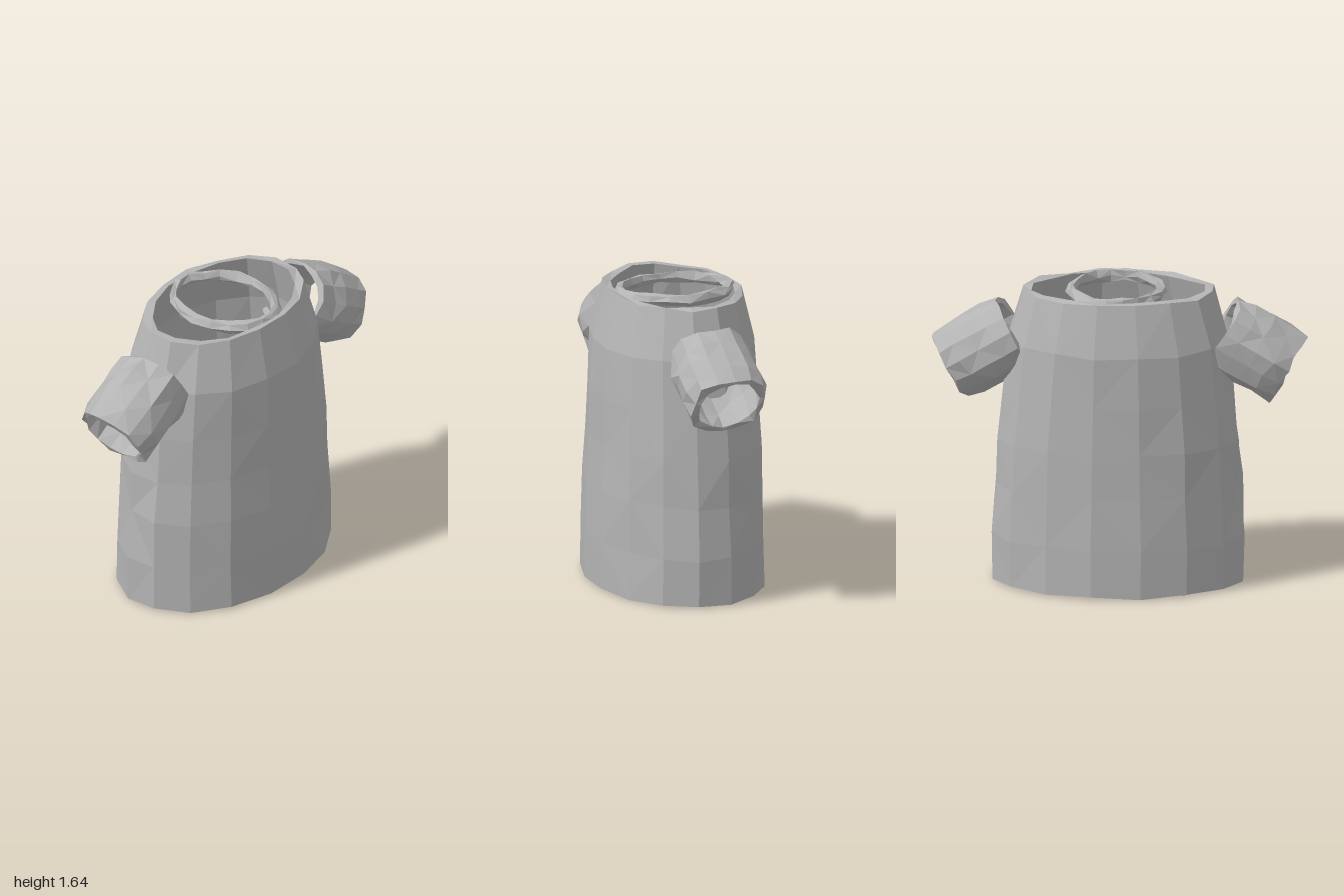
import * as THREE from 'three';

// Small seeded generator for the hand-made, slightly dented surface
function seeded(seed) {
  let s = seed;
  return () => {
    s = (s * 16807) % 2147483647;
    return s / 2147483647 - 0.5;
  };
}

// Thick elliptical band: rows [y, radiusX, radiusZ] run up the outside and
// down the inside, and the last row joins the first
function band(rows, sides, jitter, seed) {
  const rand = seeded(seed);
  const positions = [];
  const index = [];
  rows.forEach(([y, rx, rz], i) => {
    for (let j = 0; j < sides; j++) {
      const a = ((j + 0.5) / sides) * Math.PI * 2;
      const r = 1 + rand() * jitter / rx;
      positions.push(Math.sin(a) * rx * r, y + rand() * jitter, Math.cos(a) * rz * r);
      const k = (j + 1) % sides;
      const p = i * sides;
      const q = ((i + 1) % rows.length) * sides;
      if ((i + j) % 2) index.push(p + j, p + k, q + k, p + j, q + k, q + j);
      else index.push(p + j, p + k, q + j, p + k, q + k, q + j);
    }
  });
  const g = new THREE.BufferGeometry();
  g.setAttribute('position', new THREE.Float32BufferAttribute(positions, 3));
  g.setIndex(index);
  const flat = g.toNonIndexed();
  flat.computeVertexNormals();
  return flat;
}

export function createModel() {
  const model = new THREE.Group();
  model.name = 'shirt';
  const cloth = new THREE.MeshStandardMaterial({ color: 0xb4b4b4 });
  cloth.name = 'grey cloth';
  cloth.flatShading = true;

  const add = (name, geometry) => {
    const mesh = new THREE.Mesh(geometry, cloth);
    mesh.name = name;
    model.add(mesh);
    return mesh;
  };

  // Torso, open at hem and neck
  const outer = [
    [0.015, 0.685, 0.47], [0.27, 0.685, 0.46], [0.55, 0.67, 0.455],
    [0.8, 0.655, 0.445], [1.06, 0.63, 0.435], [1.34, 0.6, 0.425], [1.615, 0.515, 0.355],
  ];
  const inner = outer.map(([y, x, z]) => [y, x - 0.05, z - 0.04]).reverse();
  add('torso', band([...outer, ...inner], 16, 0.018, 11));

  // Collar ring set inside the neck opening
  const collar = add('collar', band([
    [1.575, 0.25, 0.31], [1.6, 0.268, 0.33], [1.63, 0.255, 0.315],
    [1.635, 0.23, 0.29], [1.6, 0.215, 0.28], [1.575, 0.23, 0.29],
  ], 18, 0.018, 29));
  collar.position.x = 0.01;

  // Short sleeves, open at both ends and tilted down and outwards
  const sleeveOut = [-0.2, -0.1, 0, 0.1, 0.2].map((y, i) => {
    const bulge = [0, 0.006, 0.01, 0.004, -0.004][i];
    return [y, 0.203 + bulge, 0.218 + bulge];
  });
  const sleeveIn = sleeveOut.map(([y, x, z]) => [y, x - 0.035, z - 0.035]).reverse();
  for (const side of [1, -1]) {
    const sleeve = add(side > 0 ? 'leftSleeve' : 'rightSleeve',
      band([...sleeveOut, ...sleeveIn], 14, 0.03, 47 + side));
    sleeve.position.set(side * 0.725, 1.28, 0);
    sleeve.rotation.z = side * -2.106;
  }

  return model;
}
